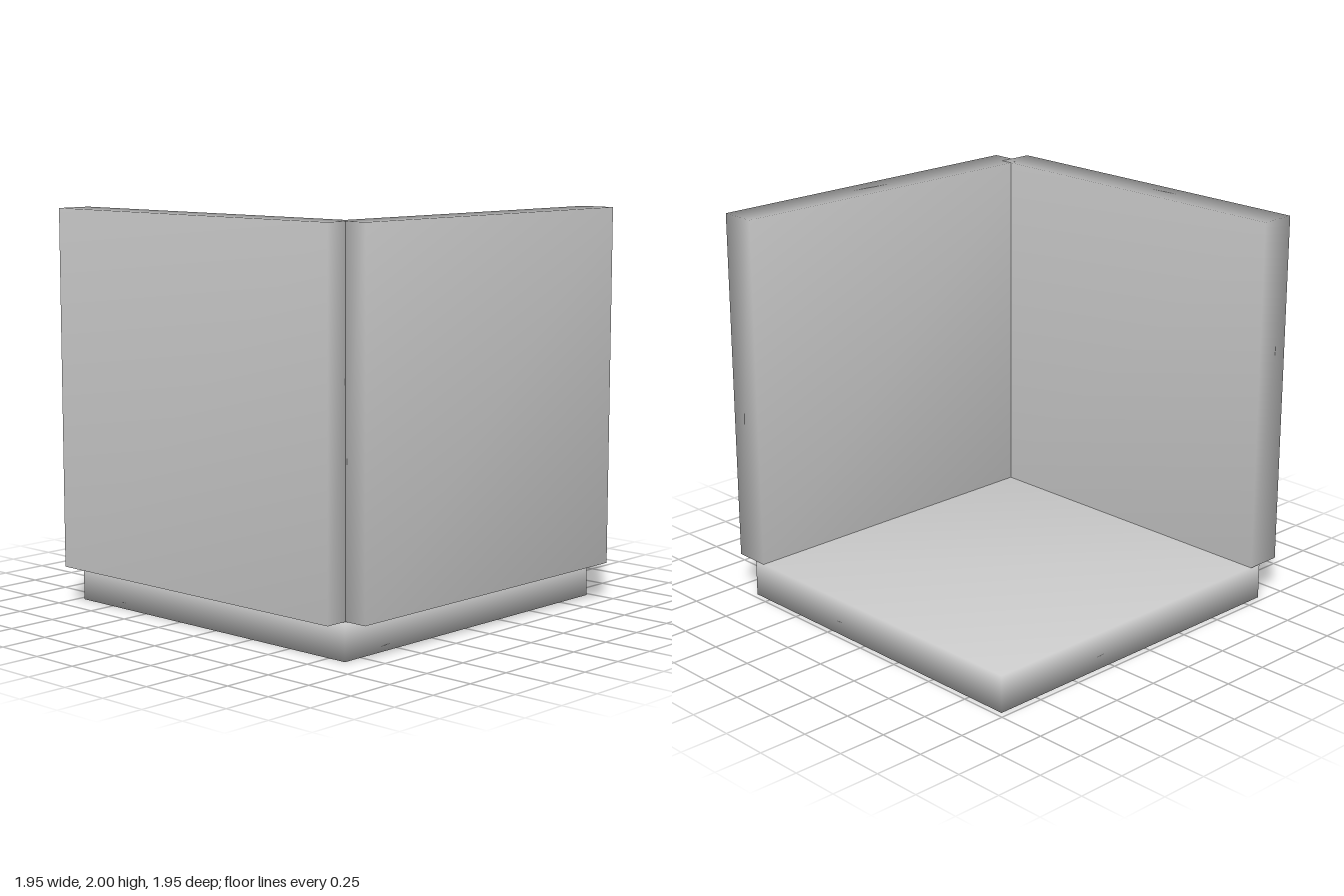
import * as THREE from 'three';
import { mergeVertices } from 'three/addons/utils/BufferGeometryUtils.js';

const material = new THREE.MeshStandardMaterial({ color: 0xcccccc });

// Plate from min and max corners, with corners welded so the shading runs smoothly round the rim
function plate(name, min, max) {
  const size = max.map((v, i) => v - min[i]);
  let geometry = new THREE.BoxGeometry(...size);
  geometry.deleteAttribute('normal');
  geometry.deleteAttribute('uv');
  geometry = mergeVertices(geometry);
  geometry.computeVertexNormals();
  const mesh = new THREE.Mesh(geometry, material);
  mesh.name = name;
  mesh.position.set(...min.map((v, i) => v + size[i] / 2));
  return mesh;
}

export function createModel() {
  const group = new THREE.Group();
  group.name = 'cornerPanels';
  group.add(
    // Floor carries both walls, which overhang it on the outside
    plate('floorPanel', [-0.968, 0, -0.972], [0.851, 0.188, 0.858]),
    // Walls overlap in the corner and leave a small outer notch
    plate('frontWall', [-0.974, 0.188, 0.786], [0.853, 2, 0.974]),
    plate('leftWall', [0.786, 0.188, -0.974], [0.974, 2, 0.857])
  );
  return group;
}
